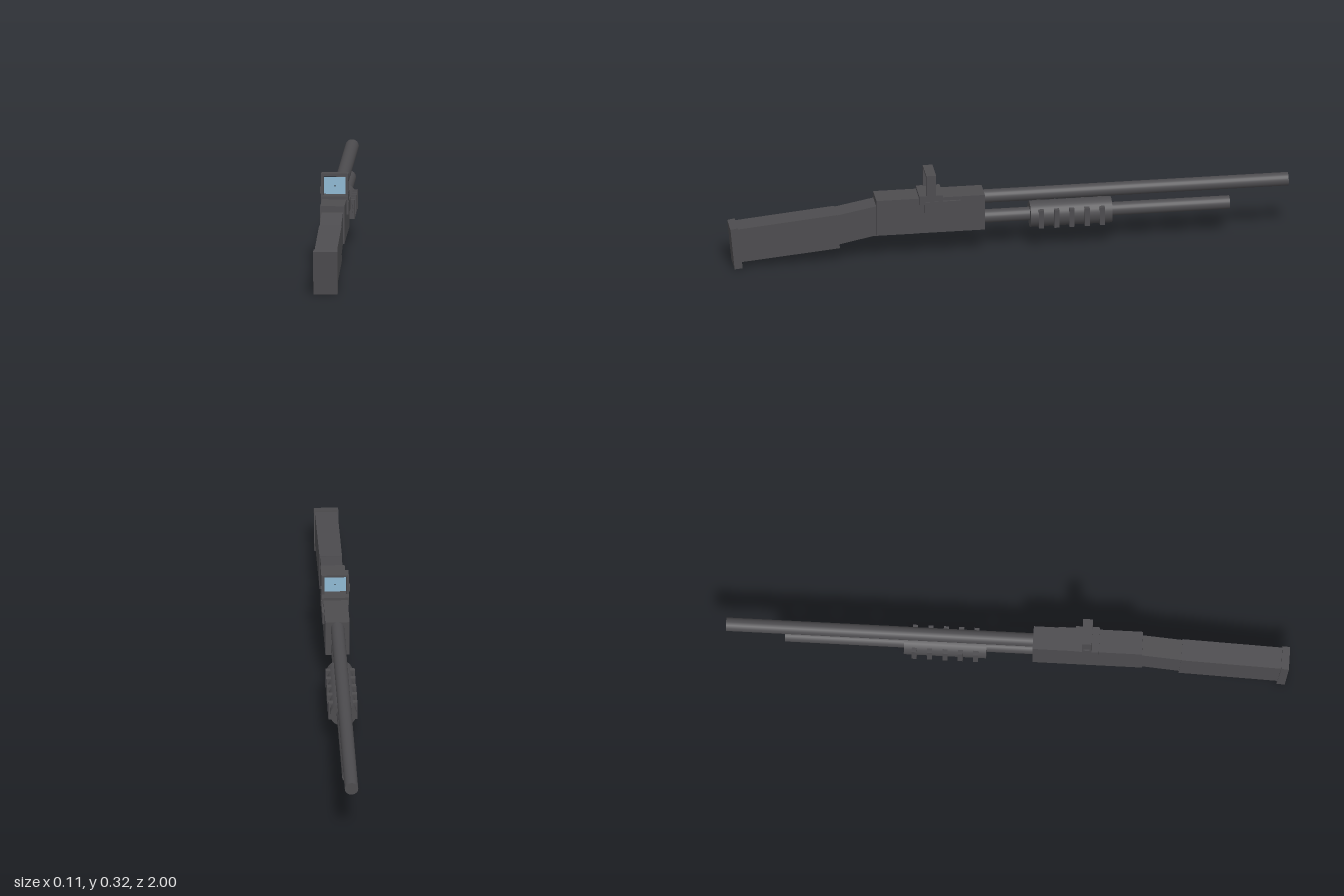
import * as THREE from 'three';

export function createModel() {
  const model = new THREE.Group();
  model.name = 'pumpLongArm';
  const grey = new THREE.MeshStandardMaterial({ color: 0x4d4c4f });
  grey.name = 'gunmetal grey';
  const blue = new THREE.MeshStandardMaterial({ color: 0x8fb9d3, side: THREE.DoubleSide });
  blue.name = 'lens blue';
  const black = new THREE.MeshStandardMaterial({ color: 0x1c1c1e });
  black.name = 'dot black';

  function add(name, geometry, material = grey) {
    const mesh = new THREE.Mesh(geometry, material);
    mesh.name = name;
    model.add(mesh);
    return mesh;
  }
  // box given by its limits on each axis
  function box(name, [x0, x1], [y0, y1], [z0, z1], material) {
    const g = new THREE.BoxGeometry(x1 - x0, y1 - y0, z1 - z0);
    g.translate((x0 + x1) / 2, (y0 + y1) / 2, (z0 + z1) / 2);
    return add(name, g, material);
  }
  // side profile of [z, y] points, extruded across x
  function profile(name, points, width) {
    const shape = new THREE.Shape(points.map(([z, y]) => new THREE.Vector2(z, y)));
    const g = new THREE.ExtrudeGeometry(shape, { depth: width, bevelEnabled: false });
    g.translate(0, 0, -width / 2);
    g.rotateY(-Math.PI / 2);
    return add(name, g);
  }
  // round tube along z
  function rod(name, radius, y, z0, z1) {
    const g = new THREE.CylinderGeometry(radius, radius, z1 - z0, 24);
    g.rotateX(Math.PI / 2);
    g.translate(0, y, (z0 + z1) / 2);
    return add(name, g);
  }

  // stock
  profile('buttPad', [[0.985, 0], [1, 0.155], [0.973, 0.16], [0.956, 0.003]], 0.086);
  profile('stock', [[0.968, 0.025], [0.98, 0.153], [0.618, 0.188], [0.608, 0.058]], 0.08);
  profile('wrist', [[0.62, 0.07], [0.62, 0.185], [0.47, 0.214], [0.47, 0.101]], 0.076);

  // receiver
  box('receiver', [-0.043, 0.043], [0.1, 0.235], [0.09, 0.478]);
  box('ejectionPort', [0.042, 0.05], [0.177, 0.222], [0.178, 0.305]);
  box('triggerGuard', [-0.012, 0.012], [0.085, 0.101], [0.325, 0.493]);

  // barrel, magazine tube and pump grip
  rod('barrel', 0.024, 0.211, -1, 0.1);
  rod('magazineTube', 0.024, 0.133, -0.79, 0.1);
  rod('pumpGrip', 0.047, 0.132, -0.367, -0.075);
  for (let i = 0; i < 5; i++) {
    const z = -0.112 - i * 0.0545;
    box('gripRib' + (i + 1), [-0.052, 0.052], [0.095, 0.163], [z - 0.009, z + 0.009]);
  }

  // reflex sight
  box('sightBase', [-0.048, 0.048], [0.212, 0.245], [0.24, 0.325]);
  const frame = new THREE.Shape();
  frame.moveTo(-0.048, 0.24).lineTo(0.048, 0.24).lineTo(0.048, 0.323).lineTo(-0.048, 0.323);
  const opening = new THREE.Path();
  opening.moveTo(-0.039, 0.243).lineTo(-0.039, 0.315).lineTo(0.039, 0.315).lineTo(0.039, 0.243);
  frame.holes.push(opening);
  const frameGeometry = new THREE.ExtrudeGeometry(frame, { depth: 0.035, bevelEnabled: false });
  frameGeometry.translate(0, 0, 0.265);
  add('sightFrame', frameGeometry);
  box('sightLens', [-0.039, 0.039], [0.248, 0.308], [0.28, 0.284], blue);
  box('aimingDot', [-0.002, 0.002], [0.275, 0.279], [0.279, 0.285], black);
  box('sightKnob', [-0.053, -0.047], [0.25, 0.272], [0.272, 0.292]);

  return model;
}
